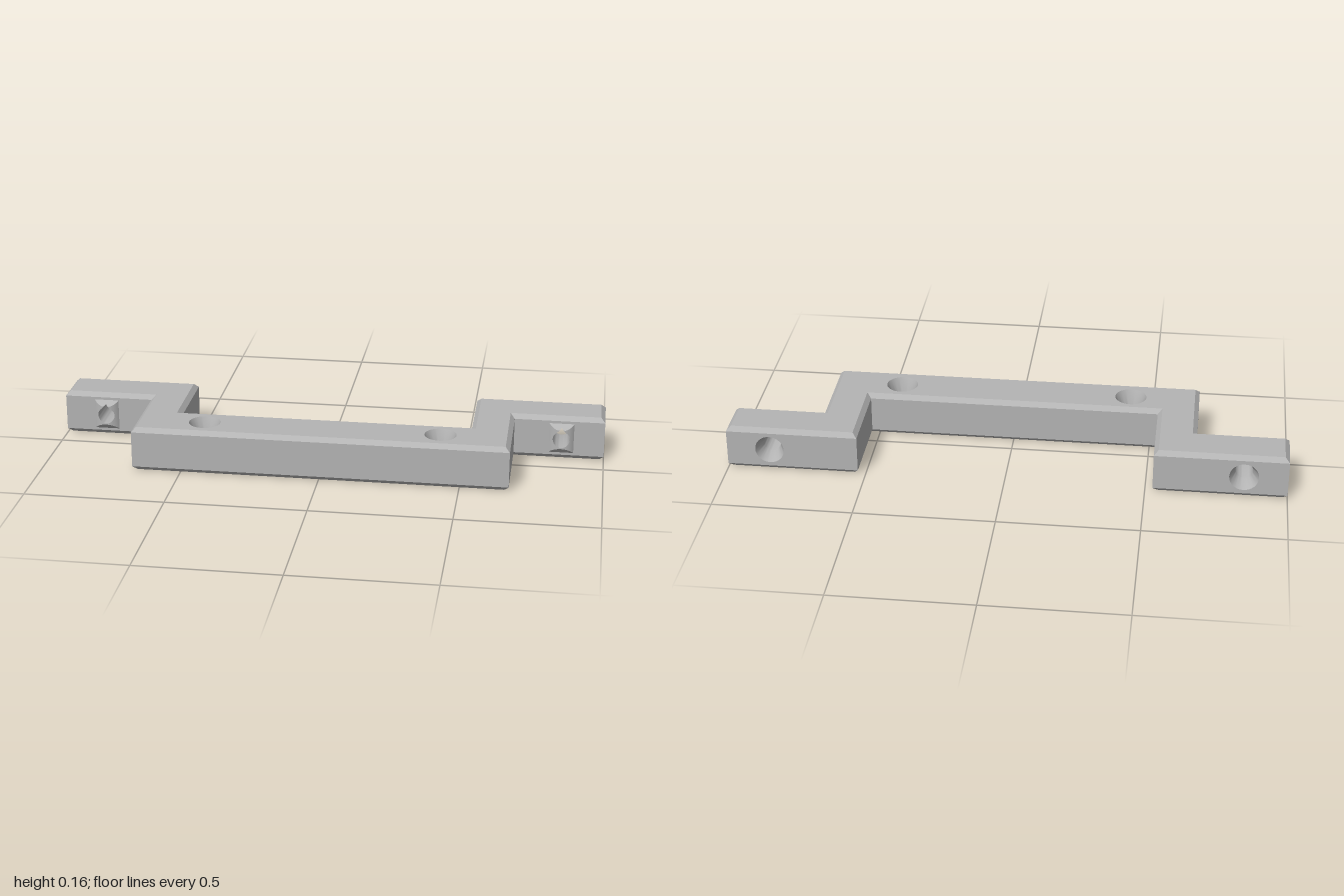
import * as THREE from 'three';
import { mergeGeometries, toCreasedNormals } from 'three/addons/utils/BufferGeometryUtils.js';

const H = 0.163, C = 0.016;            // height and edge chamfer
const MID = H / 2;
const FRONT = -0.082, BACK = -0.243;   // arm front and back planes
const ARM_X = 0.845;                   // arm screw position
const SCREW_X = 0.424, SCREW_Z = 0.147; // bar screw position
const R = 0.031, BAR_HEAD = 0.057, ARM_HEAD = 0.052;
const SEG = 32;

// Plan outline (x, z), counter-clockwise seen from above
const outline = [
  [-0.674, 0.243], [0.674, 0.243], [0.674, FRONT], [1, FRONT], [1, BACK], [0.527, BACK],
  [0.527, 0.055], [-0.527, 0.055], [-0.527, BACK], [-1, BACK], [-1, FRONT], [-0.674, FRONT],
].map(([x, z]) => new THREE.Vector3(x, 0, z));
const N = outline.length;
const UP = new THREE.Vector3(0, 1, 0);
const edges = outline.map((a, i) => {
  const b = outline[(i + 1) % N];
  const u = b.clone().sub(a).normalize();
  return { a, u, n: u.clone().cross(UP), length: a.distanceTo(b) };
});
const inset = outline.map((p, i) =>
  p.clone().addScaledVector(edges[i].n, -C).addScaledVector(edges[(i + N - 1) % N].n, -C));

// Skin between rows of points; the normal is column direction x row direction
function loft(rows) {
  const w = rows[0].length, pos = [], idx = [];
  rows.forEach(row => row.forEach(p => pos.push(p.x, p.y, p.z)));
  for (let r = 0; r < rows.length - 1; r++) {
    for (let i = 0; i < w - 1; i++) {
      const a = r * w + i, b = a + w;
      idx.push(a, a + 1, b, a + 1, b + 1, b);
    }
  }
  const g = new THREE.BufferGeometry();
  g.setAttribute('position', new THREE.Float32BufferAttribute(pos, 3));
  g.setIndex(idx);
  return g;
}

function circle(cx, cy, r) {
  return Array.from({ length: SEG + 1 }, (_, i) => {
    const t = i / SEG * Math.PI * 2;
    return new THREE.Vector2(cx + r * Math.cos(t), cy + r * Math.sin(t));
  });
}

function plate(points, holes = []) {
  const s = new THREE.Shape(points);
  holes.forEach(h => s.holes.push(new THREE.Path(h)));
  return new THREE.ShapeGeometry(s);
}

function finish(parts) {
  const flat = parts.map(g => {
    const f = g.index ? g.toNonIndexed() : g;
    f.deleteAttribute('normal');
    f.deleteAttribute('uv');
    return f;
  });
  const merged = mergeGeometries(flat);
  merged.computeVertexNormals();
  return toCreasedNormals(merged, 0.5);
}

// Locating nib: convex in plan, sloped above and below, with a teardrop bore
const NIB_W = 0.045, NIB_H = 0.056, NIB_R = 0.0587, NIB_D = 0.021;
function nibZ(x, y) {
  const arc = NIB_D - NIB_R + Math.sqrt(NIB_R * NIB_R - x * x);
  return FRONT + Math.max(0, Math.min(arc, NIB_H - Math.abs(y)));
}
function boreTop(x) {
  const a = Math.abs(x);
  if (a >= R) return 0;
  return a < R * Math.SQRT1_2 ? R * Math.SQRT2 - a : Math.sqrt(R * R - a * a);
}
const boreBottom = x => -Math.sqrt(Math.max(0, R * R - x * x));

function nibGeometry() {
  const xs = [-NIB_W, -0.041, -0.036];
  for (let i = 0; i <= SEG / 2; i++) xs.push(-R * Math.cos(i / (SEG / 2) * Math.PI));
  xs.push(0.036, 0.041, NIB_W);
  const tip = x => NIB_H - (nibZ(x, 0) - FRONT);
  const row = f => xs.map(x => {
    const y = f(x);
    return new THREE.Vector3(x, y, nibZ(x, y));
  });
  return finish([
    loft([row(() => -NIB_H), row(x => -tip(x)), row(boreBottom)]),
    loft([row(boreTop), row(x => Math.max(boreTop(x), tip(x))), row(() => NIB_H)]),
  ]);
}

// Countersunk teardrop bore through an arm
function armBoreGeometry() {
  const tear = circle(0, 0, R).map(p => (p.y > 0 ? new THREE.Vector2(p.x, boreTop(p.x)) : p));
  const at = (pts, z) => pts.map(p => new THREE.Vector3(p.x, p.y, z));
  return finish([loft([
    tear.map(p => new THREE.Vector3(p.x, p.y, nibZ(p.x, p.y))),
    at(tear, BACK + 0.05),
    at(circle(0, 0, ARM_HEAD), BACK),
  ])]);
}

// Countersunk round bore through the bar
function barBoreGeometry() {
  const ring = (r, y) => circle(0, 0, r).map(p => new THREE.Vector3(p.x, y, -p.y));
  return finish([loft([ring(BAR_HEAD, H), ring(R, H - 0.065), ring(R, 0)])]);
}

function bodyGeometry() {
  const parts = [];
  // Side walls, with openings in the arms
  edges.forEach(({ a, u, n, length }, i) => {
    const rect = (x0, y0, x1, y1) => [[x0, y0], [x1, y0], [x1, y1], [x0, y1]]
      .map(([x, y]) => new THREE.Vector2(x, y));
    const holes = [];
    const armX = Math.sign(a.x) * ARM_X;
    const s = (armX - a.x) * u.x;
    if (i === 2 || i === 10) holes.push(rect(s - NIB_W, MID - NIB_H, s + NIB_W, MID + NIB_H));
    if (i === 4 || i === 8) holes.push(circle(s, MID, ARM_HEAD));
    const wall = plate(rect(0, C, length, H - C), holes);
    wall.applyMatrix4(new THREE.Matrix4().makeBasis(u, UP, n).setPosition(a));
    parts.push(wall);
  });
  // Chamfers
  const ring = (pts, y) => [...pts, pts[0]].map(p => new THREE.Vector3(p.x, y, p.z));
  parts.push(loft([ring(outline, H - C), ring(inset, H)]));
  parts.push(loft([ring(inset, 0), ring(outline, C)]));
  // Top and bottom faces
  const cap = (sign, r) => plate(inset.map(p => new THREE.Vector2(p.x, sign * p.z)),
    [-SCREW_X, SCREW_X].map(x => circle(x, sign * SCREW_Z, r)));
  parts.push(cap(-1, BAR_HEAD).rotateX(-Math.PI / 2).translate(0, H, 0));
  parts.push(cap(1, R).rotateX(Math.PI / 2));
  return finish(parts);
}

export function createModel() {
  const grey = new THREE.MeshStandardMaterial({ color: 0xb4b4b4 });
  grey.name = 'grey';
  const model = new THREE.Group();
  model.name = 'mountingBracket';
  const add = (name, geometry, x = 0, y = 0, z = 0) => {
    const m = new THREE.Mesh(geometry, grey);
    m.name = name;
    m.position.set(x, y, z);
    model.add(m);
  };

  add('bracketBody', bodyGeometry());
  const nib = nibGeometry(), armBore = armBoreGeometry(), barBore = barBoreGeometry();
  for (const [side, s] of [['left', 1], ['right', -1]]) {
    add(side + 'LocatingNib', nib, s * ARM_X, MID, 0);
    add(side + 'ArmScrewHole', armBore, s * ARM_X, MID, 0);
    add(side + 'BarScrewHole', barBore, s * SCREW_X, 0, SCREW_Z);
  }
  return model;
}
